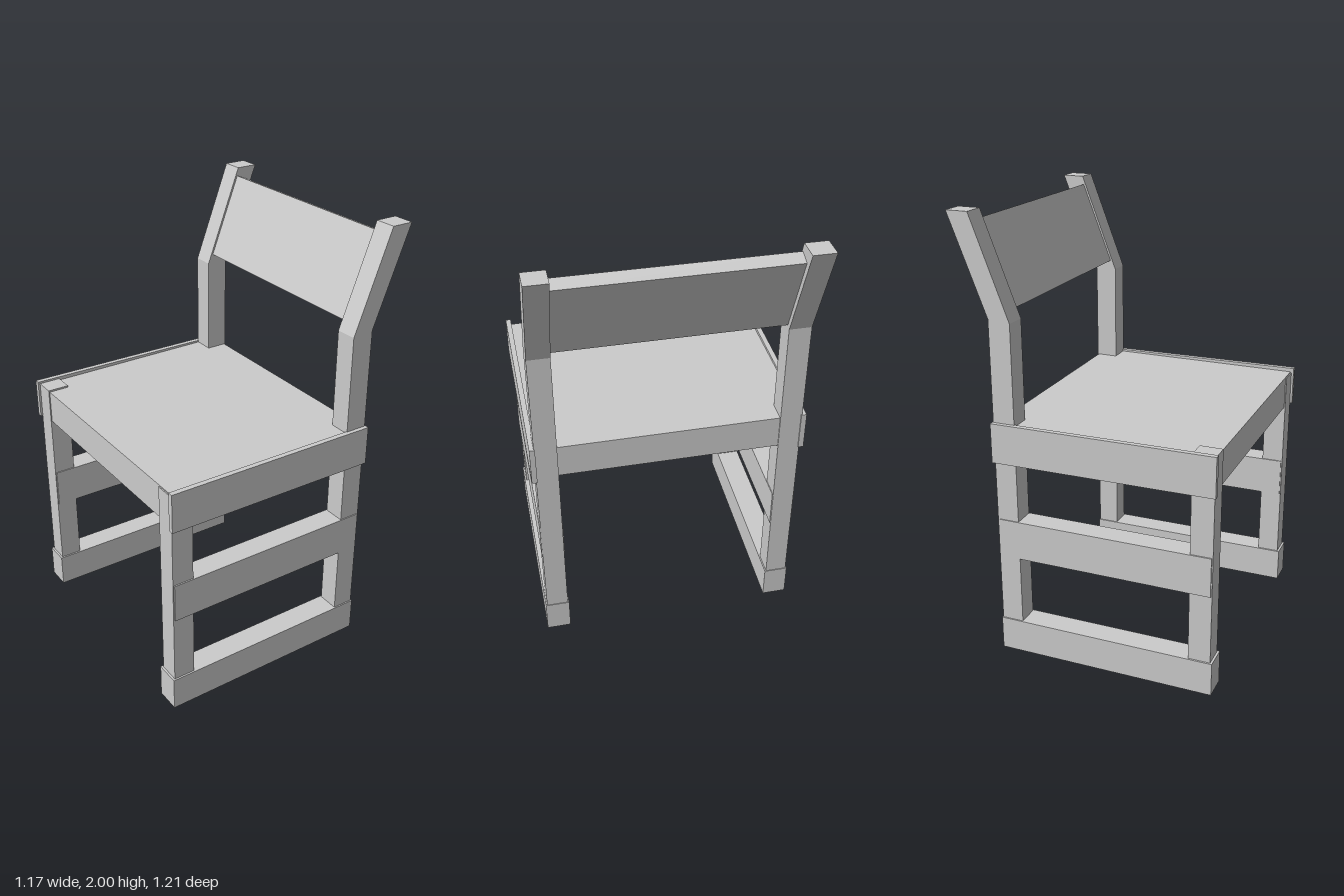
import * as THREE from 'three';

const material = new THREE.MeshStandardMaterial({ color: 0xcccccc, flatShading: true });

// Extrudes a side profile given as [x, y] corners from z0 to z1.
function slab(name, points, z0, z1) {
  const shape = new THREE.Shape(points.map(([x, y]) => new THREE.Vector2(x, y)));
  const geometry = new THREE.ExtrudeGeometry(shape, { depth: z1 - z0, bevelEnabled: false });
  geometry.translate(0, 0, z0);
  const mesh = new THREE.Mesh(geometry, material);
  mesh.name = name;
  return mesh;
}

// Rail running front to back, a little lower at the rear.
function rail(name, x0, x1, yBottom, yTop, z0, z1, drop = 0.008) {
  return slab(name, [[x0, yBottom], [x1, yBottom - drop], [x1, yTop - drop], [x0, yTop]], z0, z1);
}

export function createModel() {
  const chair = new THREE.Group();
  chair.name = 'chair';

  // Side frames: the chair faces -x
  for (const side of [-1, 1]) {
    const frame = new THREE.Group();
    frame.name = side > 0 ? 'leftSideFrame' : 'rightSideFrame';
    const span = (inner, outer) => (side > 0 ? [inner, outer] : [-outer, -inner]);
    const legTop = side > 0 ? 1.099 : 1.112;

    // Back post, bent backwards above the seat
    frame.add(slab('backPost', [
      [0.315, 0.01], [0.415, 0.01], [0.415, 1.565], [0.585, 2], [0.485, 2], [0.315, 1.555],
    ], ...span(0.488, 0.586)));

    // Front leg
    frame.add(slab('frontLeg', [
      [-0.58, 0.02], [-0.48, 0.02], [-0.48, legTop], [-0.58, legTop],
    ], ...span(0.49, 0.584)));

    // Floor runner, middle stretcher and thin seat rail
    frame.add(rail('floorRunner', -0.59, 0.418, 0.01, 0.165, ...span(0.482, 0.592)));
    frame.add(rail('middleStretcher', -0.575, 0.41, 0.485, 0.665, ...span(0.485, 0.59)));
    frame.add(rail('seatRail', -0.59, 0.42, 0.942, 1.122, ...span(0.581, 0.605), 0.01));
    chair.add(frame);
  }

  // Solid seat slab
  chair.add(slab('seat', [[-0.575, 0.95], [0.41, 0.95], [0.41, 1.104], [-0.575, 1.104]], -0.582, 0.582));

  // Tilted backrest board between the posts
  chair.add(slab('backrest', [[0.34, 1.597], [0.395, 1.575], [0.535, 1.94], [0.48, 1.962]], -0.49, 0.49));

  return chair;
}
